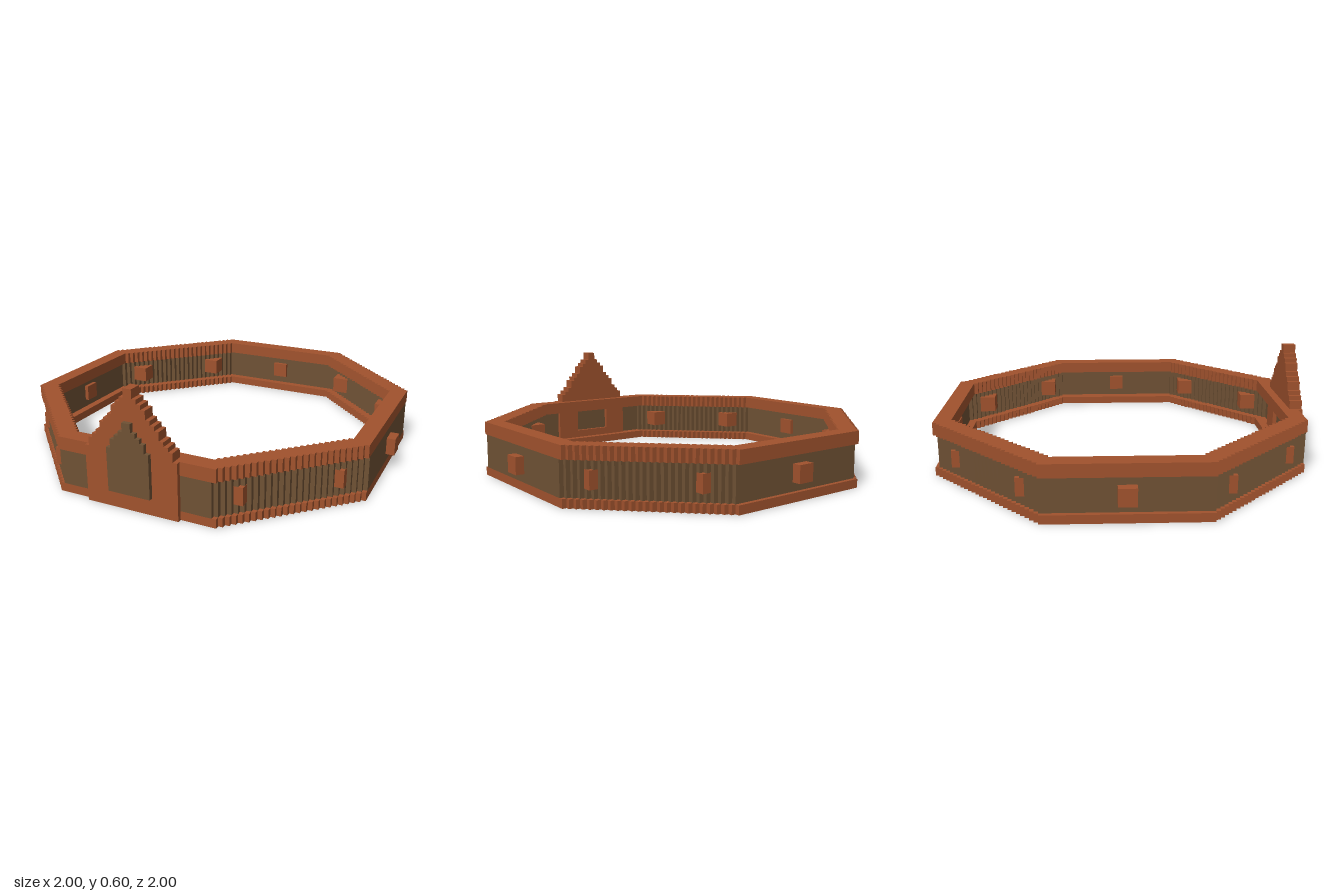
import * as THREE from 'three';

const UNIT = 1 / 45; // one block; everything below is measured in blocks

// Stepped outline: span(row) gives [left, right] for each row of blocks
function steppedPoints(from, to, span) {
  const right = [], left = [];
  for (let row = from; row < to; row++) {
    const [l, r] = span(row);
    for (const [side, x] of [[right, r], [left, l]]) {
      const last = side[side.length - 1];
      if (last && last.x === x) last.y = row + 1; // lengthen a straight run
      else side.push(new THREE.Vector2(x, row), new THREE.Vector2(x, row + 1));
    }
  }
  return right.concat(left.reverse());
}

// Stepped octagon reaching from lo to hi on both axes, corners cut where |x| + |z| > sum
function octagon(lo, hi, sum) {
  return steppedPoints(lo, hi, (row) => {
    const cut = sum - Math.abs(row + 0.5) + 0.5;
    return [Math.max(lo, -cut), Math.min(hi, cut)];
  });
}

// Pointed gable outline narrowing in steps towards the top row
function gablePoints(bottom, top, maxHalf) {
  return steppedPoints(bottom, top, (row) => {
    const half = Math.min(maxHalf, 1 + Math.floor((top - 1 - row) * 0.75));
    return [-half, half];
  });
}

function extrude(points, hole, depth) {
  const shape = new THREE.Shape(points);
  if (hole) shape.holes.push(new THREE.Path(hole));
  return new THREE.ExtrudeGeometry(shape, { depth, bevelEnabled: false });
}

export function createModel() {
  const terracotta = new THREE.MeshStandardMaterial({ color: 0xa0522d });
  const brown = new THREE.MeshStandardMaterial({ color: 0x6f5134 });
  terracotta.name = 'terracotta';
  brown.name = 'brown';

  const model = new THREE.Group();
  model.name = 'octagonalEnclosure';
  function add(name, geometry, material) {
    geometry.scale(UNIT, UNIT, UNIT);
    const mesh = new THREE.Mesh(geometry, material);
    mesh.name = name;
    model.add(mesh);
  }

  // Flat ring between two heights
  function ring(name, outer, inner, y0, y1, material) {
    const geometry = extrude(octagon(...outer), octagon(...inner), y1 - y0);
    geometry.rotateX(Math.PI / 2).translate(0, y1, 0);
    add(name, geometry, material);
  }
  const rimOuter = [-44, 43, 61], rimInner = [-40, 39, 55];
  ring('bottomRim', rimOuter, rimInner, 0, 2, terracotta);
  ring('wallPanel', [-43, 43, 60], [-42, 42, 58], 2, 10, brown);
  ring('topRim', rimOuter, rimInner, 10, 13, terracotta);

  // Square studs through the wall: one on each plain side, two on each diagonal
  function stud(name, x, z, size) {
    add(name, new THREE.BoxGeometry(size, size, size).translate(x, 6, z), terracotta);
  }
  stud('leftStud', 43, 0, 4);
  stud('rightStud', -43, 0, 4);
  stud('backStud', 0, -43, 4);
  for (const sx of [-1, 1]) {
    for (const sz of [-1, 1]) {
      stud('diagonalStud', sx * 21, sz * 37, 4.06);
      stud('diagonalStud', sx * 37, sz * 21, 4.06);
    }
  }

  // Front gable, open behind the lower part of the window
  const opening = [[-5, 4], [-5, 10], [5, 10], [5, 4]].map(([x, y]) => new THREE.Vector2(x, y));
  add('gable', extrude(gablePoints(0, 27, 11), opening, 3).translate(0, 0, 41), terracotta);
  add('gableWindow', extrude(gablePoints(4, 20, 5), null, 1).translate(0, 0, 44), brown);

  return model;
}
